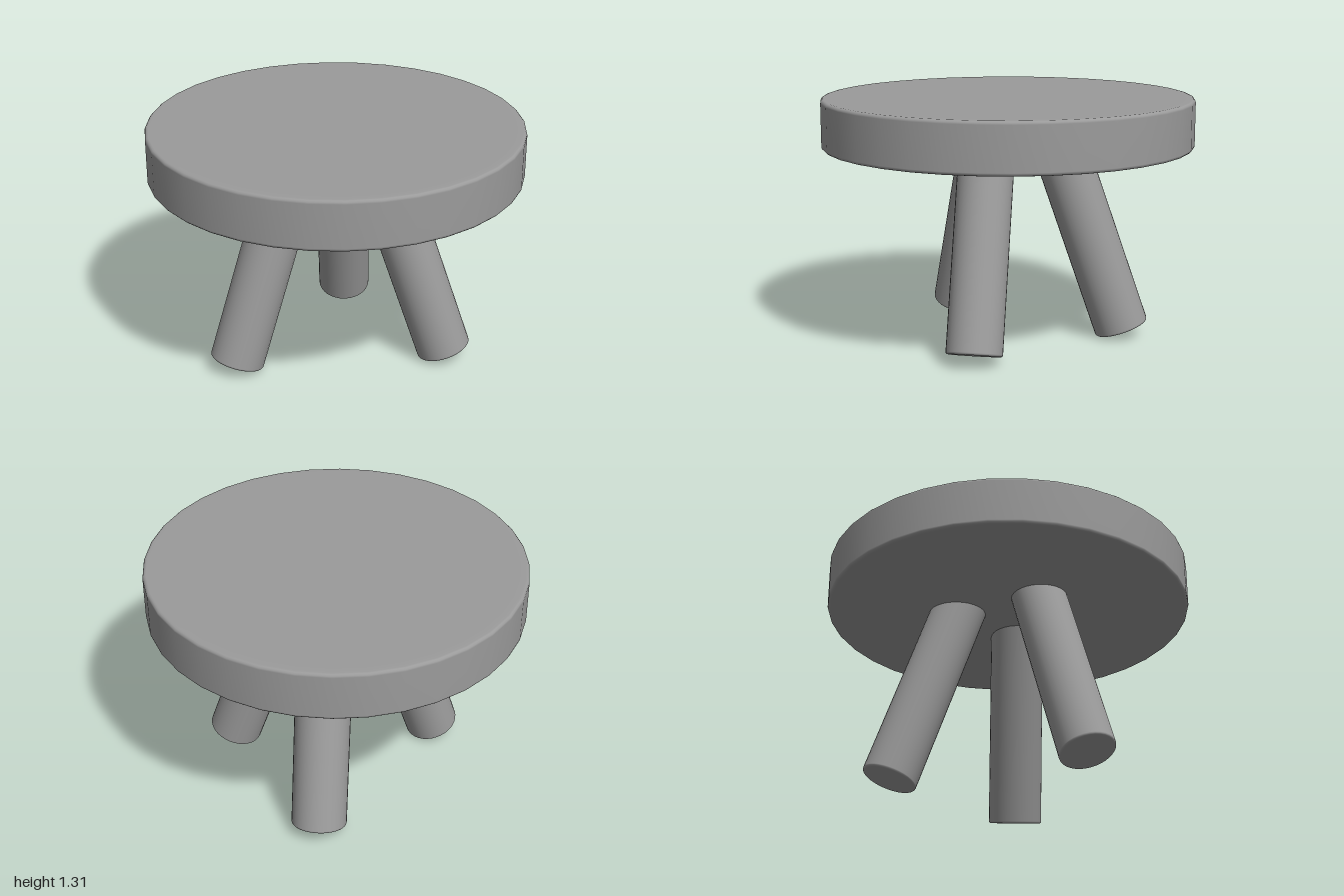
import * as THREE from 'three';

const material = new THREE.MeshStandardMaterial({ color: 0x9b9b9b });

// Solid disc or rod, from y = 0 to y = height, with softly rounded rims
function roundedCylinder(radius, height, bevel, sides) {
  const inner = radius - bevel * 3;
  const points = [new THREE.Vector2(0, 0), new THREE.Vector2(inner, 0)];
  const steps = 3;
  for (const [cy, start] of [[bevel, -Math.PI / 2], [height - bevel, 0]]) {
    for (let i = 0; i <= steps; i++) {
      const a = start + (i / steps) * Math.PI / 2;
      points.push(new THREE.Vector2(radius - bevel + bevel * Math.cos(a), cy + bevel * Math.sin(a)));
    }
  }
  points.push(new THREE.Vector2(inner, height), new THREE.Vector2(0, height));
  return new THREE.LatheGeometry(points, sides);
}

export function createModel() {
  const group = new THREE.Group();

  // Thick round seat
  const seat = new THREE.Mesh(roundedCylinder(1, 0.265, 0.018, 36), material);
  seat.name = 'seat';
  seat.position.y = 1.05;
  group.add(seat);

  // Three splayed legs: foot centre, and axis where it meets the seat underside
  const legs = [
    ['rightLeg', [-0.551, 0.046, 0.271], [-0.25, 1.05, 0.112]],
    ['leftLeg', [0.588, 0.048, 0.19], [0.25, 1.05, 0.117]],
    ['backLeg', [0.079, 0.048, -0.622], [0.05, 1.05, -0.277]],
  ];
  const up = new THREE.Vector3(0, 1, 0);
  for (const [name, foot, top] of legs) {
    const base = new THREE.Vector3(...foot);
    const axis = new THREE.Vector3(...top).sub(base);
    // Legs run on a little way into the seat
    const leg = new THREE.Mesh(roundedCylinder(0.148, axis.length() + 0.1, 0.012, 32), material);
    leg.name = name;
    leg.position.copy(base);
    leg.quaternion.setFromUnitVectors(up, axis.normalize());
    group.add(leg);
  }
  return group;
}
